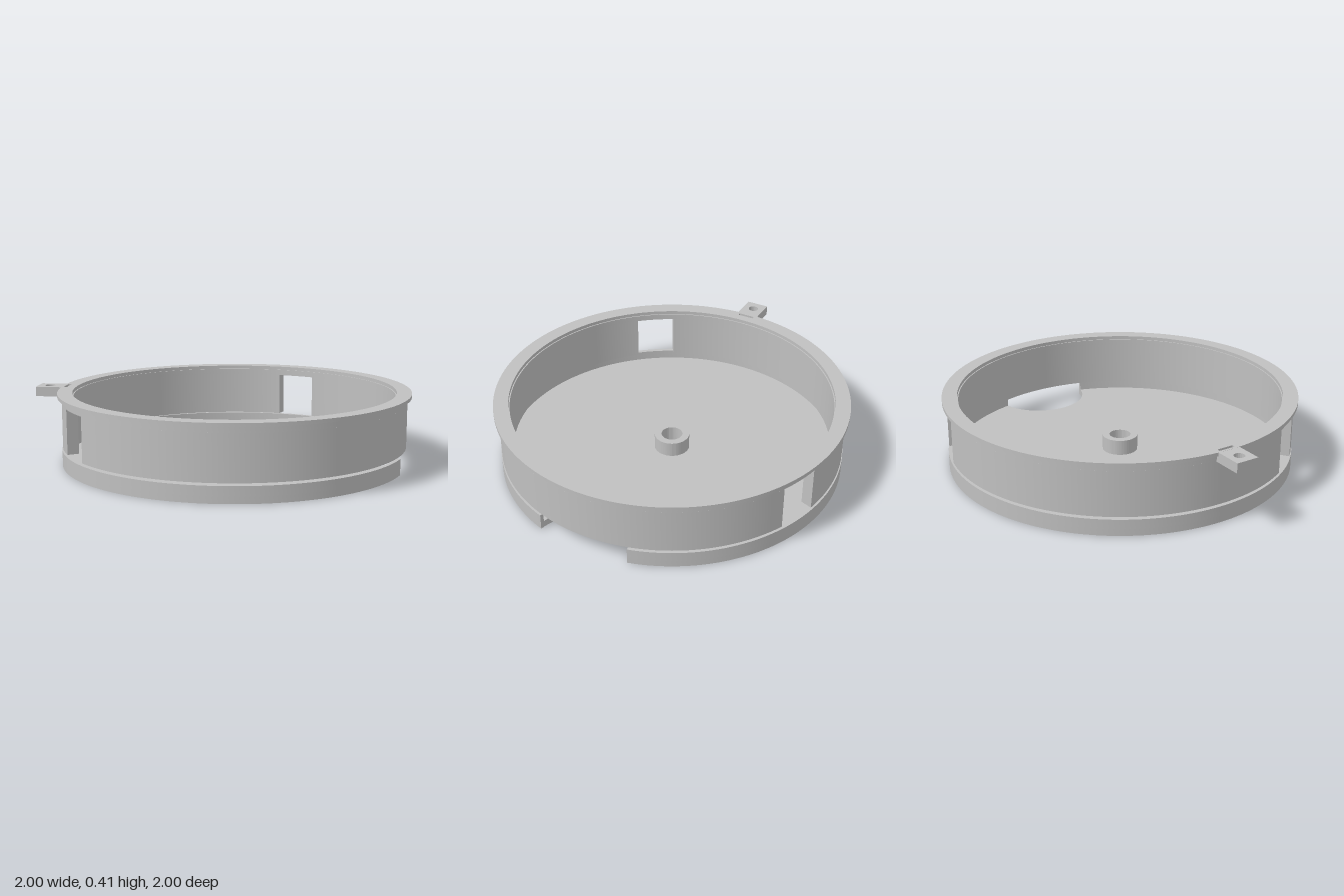
import * as THREE from 'three';
import { toCreasedNormals } from 'three/addons/utils/BufferGeometryUtils.js';

const TAU = Math.PI * 2, DEG = Math.PI / 180;

// Plan shapes use (x, -z); angles run counter-clockwise seen from above.
const NOTCH = { a: -36 * DEG, c: 0.977, r: 0.27 };
const WINDOWS = [36 * DEG, 180 * DEG], WINDOW_HALF = 0.113;
const TAB_ANGLE = 145 * DEG;

function circle(r, x = 0, y = 0) {
  return new THREE.Path().absarc(x, y, r, 0, TAU, false);
}

function ring(outer, inner) {
  const s = new THREE.Shape().absarc(0, 0, outer, 0, TAU, false);
  s.holes.push(circle(inner));
  return s;
}

// Rectangle path in a frame turned to an angle: u outward, t sideways
function turnedRect(path, angle, u0, u1, half) {
  const c = Math.cos(angle), s = Math.sin(angle);
  const pts = [[u0, -half], [u1, -half], [u1, half], [u0, half]];
  return path.setFromPoints(pts.map(([u, t]) => new THREE.Vector2(u * c - t * s, u * s + t * c)));
}

// Where the notch circle crosses a circle of radius R about the centre
function notchAt(R) {
  const { c, r } = NOTCH;
  const h = Math.acos((R * R + c * c - r * r) / (2 * R * c));
  return { h, b: Math.atan2(R * Math.sin(h), R * Math.cos(h) - c) };
}

function notchArc(path, from, to) {
  const { a, c, r } = NOTCH;
  return path.absarc(c * Math.cos(a), c * Math.sin(a), r, a + from, a + to, true);
}

export function createModel() {
  const model = new THREE.Group();
  const grey = new THREE.MeshStandardMaterial({ color: 0xc0c0c0 });
  grey.name = 'grey';

  function slab(name, shape, y0, y1) {
    let g = new THREE.ExtrudeGeometry(shape, { depth: y1 - y0, bevelEnabled: false, curveSegments: 96 });
    g.rotateX(-Math.PI / 2).translate(0, y0, 0);
    g = toCreasedNormals(g, 0.5);
    const mesh = new THREE.Mesh(g, grey);
    mesh.name = name;
    model.add(mesh);
  }

  // Base floor with round notch and centre hole
  const A = NOTCH.a, out = notchAt(0.98), inn = notchAt(0.957);
  const floor = new THREE.Shape().absarc(0, 0, 0.98, A + out.h, A - out.h + TAU, false);
  notchArc(floor, -out.b, out.b);
  floor.holes.push(circle(0.06));
  slab('baseFloor', floor, 0, 0.038);

  // Low rim of the base, cut by the same notch
  const rim = new THREE.Shape().absarc(0, 0, 0.98, A + out.h, A - out.h + TAU, false);
  notchArc(rim, -out.b, -inn.b);
  rim.absarc(0, 0, 0.957, A - inn.h + TAU, A + inn.h, true);
  notchArc(rim, inn.b, out.b);
  slab('baseRim', rim, 0.038, 0.091);

  // Centre hub
  slab('hub', ring(0.1, 0.06), 0.038, 0.125);

  // Upper wall: arcs between the two windows, then a full band above them
  const Ro = 0.976, Ri = 0.91;
  const ho = Math.asin(WINDOW_HALF / Ro), hi = Math.asin(WINDOW_HALF / Ri);
  WINDOWS.forEach((start, i) => {
    const end = i === 0 ? WINDOWS[1] : WINDOWS[0] + TAU;
    const arc = new THREE.Shape().absarc(0, 0, Ro, start + ho, end - ho, false);
    arc.absarc(0, 0, Ri, end - hi, start + hi, true);
    slab('wallSection', arc, 0.104, 0.355);
  });
  slab('wallBand', ring(Ro, Ri), 0.355, 0.389);

  // Top flange with a narrow slot beside the tab
  const flange = ring(1, 0.916);
  flange.holes.push(turnedRect(new THREE.Path(), TAB_ANGLE, 0.966, 0.985, 0.048));
  slab('flange', flange, 0.389, 0.409);

  // Mounting tab with screw hole
  const tab = turnedRect(new THREE.Shape(), TAB_ANGLE, 0.985, 1.147, 0.065);
  tab.holes.push(circle(0.029, 1.08 * Math.cos(TAB_ANGLE), 1.08 * Math.sin(TAB_ANGLE)));
  slab('mountingTab', tab, 0.354, 0.4085);

  return model;
}
